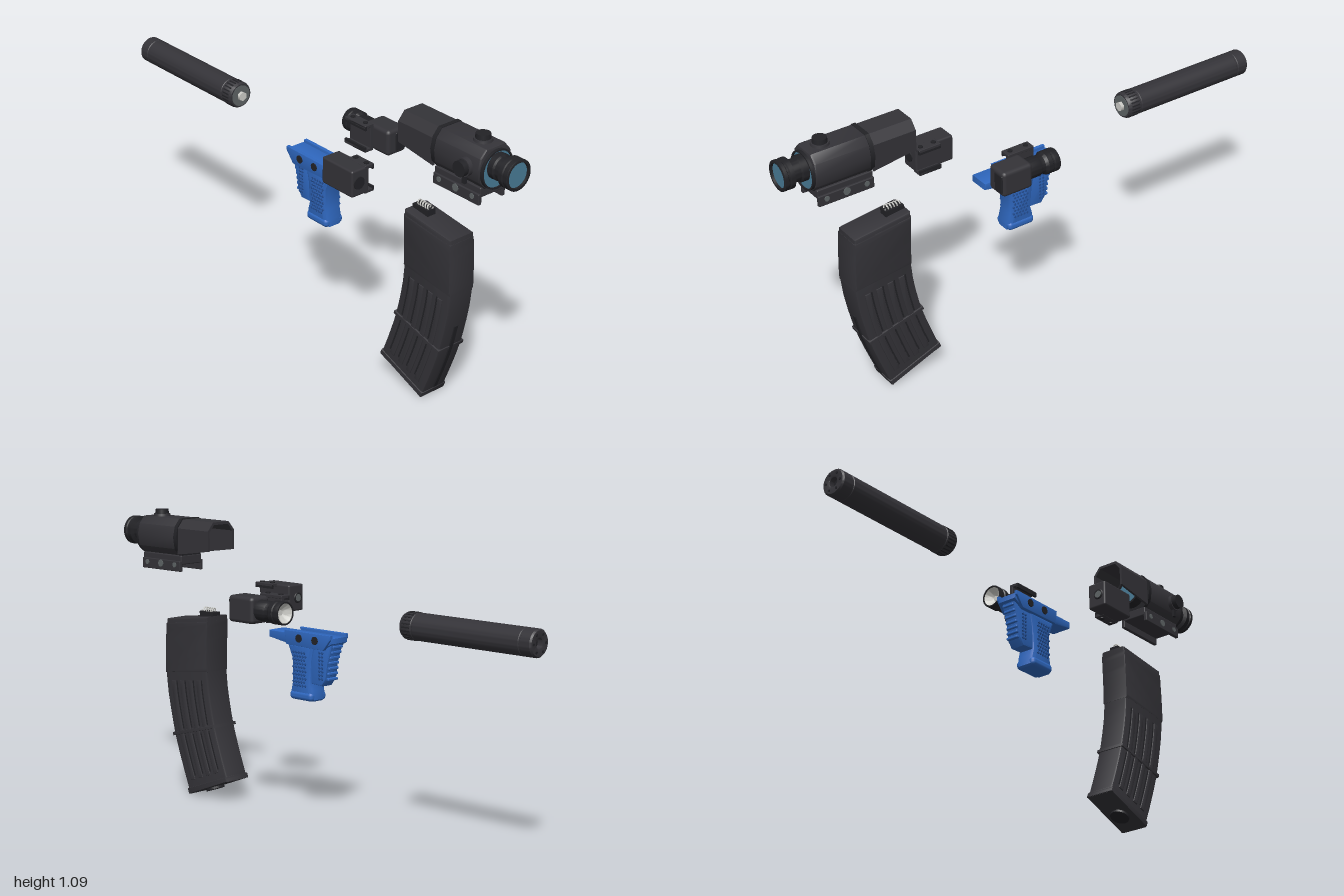
import * as THREE from 'three';
import { mergeGeometries, toCreasedNormals } from 'three/addons/utils/BufferGeometryUtils.js';
import { RoundedBoxGeometry } from 'three/addons/geometries/RoundedBoxGeometry.js';

const colour = (name, hex, side = THREE.FrontSide) => {
  const m = new THREE.MeshStandardMaterial({ color: hex, side });
  m.name = name;
  return m;
};
const M = {
  body: colour('charcoal polymer', 0x343338),
  dark: colour('black metal', 0x222226),
  blue: colour('blue polymer', 0x2f68c0),
  deep: colour('deep blue texture', 0x234f96),
  glass: colour('lens glass', 0x4a7d98),
  silver: colour('bright metal', 0xcfcfca, THREE.DoubleSide),
  grey: colour('grey metal', 0x5f6566),
};
const CX = -0.018; // shared centre line of the main parts

function add(parent, name, geo, mat, x = 0, y = 0, z = 0) {
  const m = new THREE.Mesh(geo, mat);
  m.name = name;
  m.position.set(x, y, z);
  parent.add(m);
  return m;
}
function group(parent, name) {
  const g = new THREE.Group();
  g.name = name;
  parent.add(g);
  return g;
}
const box = (w, h, d, r = 0) => r ? new RoundedBoxGeometry(w, h, d, 2, r) : new THREE.BoxGeometry(w, h, d);
// Turned part about the z axis from [radius, z] points, z increasing
const turned = (pts, seg = 40) => toCreasedNormals(
  new THREE.LatheGeometry(pts.map(p => new THREE.Vector2(...p)), seg).rotateX(Math.PI / 2), 0.6);
// Prism along z from an [x, y] outline, centred on z = 0
function prismZ(pts, depth, bevel = 0) {
  const shape = new THREE.Shape(pts.map(p => new THREE.Vector2(...p)));
  const d = depth - 2 * bevel;
  const g = new THREE.ExtrudeGeometry(shape, {
    depth: d, bevelEnabled: bevel > 0, bevelSize: bevel, bevelThickness: bevel, bevelOffset: -bevel, bevelSegments: 2,
  });
  return toCreasedNormals(g.translate(0, 0, -d / 2), 0.6);
}
// Prism along x from a [z, y] outline
const prismX = (pts, width, bevel) => prismZ(pts, width, bevel).rotateY(-Math.PI / 2);
const discX = (r, w, seg = 20) => new THREE.CylinderGeometry(r, r, w, seg).rotateZ(Math.PI / 2);
const discZ = (r, w, seg = 32) => new THREE.CylinderGeometry(r, r, w, seg).rotateX(Math.PI / 2);

function buildScope(root) {
  const g = group(root, 'scope');
  // Octagonal housing
  const oct = [[-0.04, 0.925], [0.04, 0.925], [0.068, 0.955], [0.075, 1.0], [0.066, 1.04], [0.042, 1.068], [-0.042, 1.068], [-0.066, 1.04], [-0.075, 1.0], [-0.068, 0.955]];
  add(g, 'scopeHousing', prismZ(oct, 0.225, 0.008), M.body, CX, 0, 0.785);
  add(g, 'housingCollar', prismZ(oct.map(([x, y]) => [x * 1.03, 0.997 + (y - 0.997) * 1.03]), 0.016), M.dark, CX, 0, 0.68);
  // Front lens ring and eyepiece
  add(g, 'frontRing', turned([[0.064, 0.88], [0.07, 0.88], [0.07, 0.908], [0.064, 0.908], [0.064, 0.896]]), M.dark, CX, 0.99);
  add(g, 'frontLens', discZ(0.065, 0.006), M.glass, CX, 0.99, 0.9);
  add(g, 'eyepiece', turned([[0.046, 0.89], [0.046, 0.925], [0.04, 0.93], [0.04, 0.955], [0.055, 0.96], [0.055, 0.975], [0.051, 0.978],
    [0.051, 0.983], [0.055, 0.986], [0.055, 0.998], [0.052, 1.0], [0.045, 1.0], [0.044, 0.98]]), M.dark, CX, 1.003);
  add(g, 'eyepieceLens', discZ(0.045, 0.006), M.glass, CX, 1.003, 0.988);
  // Rear hood, open below, its lower edge rising to the back
  const hood = prismZ([[-0.067, 0.935], [-0.067, 1.035], [-0.04, 1.067], [0.04, 1.067], [0.067, 1.035], [0.067, 0.935],
    [0.058, 0.935], [0.058, 1.03], [0.036, 1.057], [-0.036, 1.057], [-0.058, 1.03], [-0.058, 0.935]], 0.17);
  const p = hood.attributes.position;
  for (let i = 0; i < p.count; i++) if (p.getY(i) < 0.95) p.setY(i, p.getY(i) + 0.024 * (0.085 - p.getZ(i)) / 0.17);
  add(g, 'rearHood', hood, M.body, CX, 0, 0.59);
  add(g, 'rearLensRing', turned([[0.047, 0.63], [0.055, 0.63], [0.055, 0.68]]), M.dark, CX, 0.995);
  add(g, 'rearLens', discZ(0.049, 0.006), M.glass, CX, 0.995, 0.645);
  // Adjustment turrets
  add(g, 'topTurretBase', new THREE.CylinderGeometry(0.031, 0.034, 0.014, 24), M.body, CX, 1.07, 0.835);
  add(g, 'topTurret', new THREE.CylinderGeometry(0.025, 0.027, 0.02, 16), M.dark, CX, 1.084, 0.835);
  add(g, 'sideTurretBase', discX(0.032, 0.02), M.body, -0.095, 0.997, 0.835);
  add(g, 'sideTurret', discX(0.028, 0.024, 16), M.dark, -0.112, 0.997, 0.835);
  add(g, 'sideLever', box(0.01, 0.035, 0.014), M.dark, -0.096, 0.955, 0.835);
  // Rail mount with clamping jaws and bolts
  add(g, 'mountBlock', box(0.106, 0.035, 0.215, 0.004), M.body, CX, 0.912, 0.778);
  for (const s of [-1, 1]) {
    add(g, 'mountJaw', box(0.014, 0.04, 0.215, 0.003), M.body, CX + s * 0.053, 0.888, 0.778);
    for (const z of [0.70, 0.778, 0.855]) add(g, 'mountBolt', discX(z === 0.778 ? 0.014 : 0.01, 0.008, 8), M.grey, CX + s * 0.059, 0.893, z);
  }
}

function buildMagazine(root) {
  const g = group(root, 'magazine');
  const curve = pts => new THREE.SplineCurve(pts.map(p => new THREE.Vector2(...p)));
  const front = curve([[0.757, 0.68], [0.764, 0.46], [0.73, 0.273], [0.69, 0.145], [0.635, 0.005]]);
  const rear = curve([[0.528, 0.708], [0.533, 0.488], [0.507, 0.327], [0.472, 0.21], [0.425, 0.086]]);
  const at = (u, t) => front.getPoint(t).lerp(rear.getPoint(t), u).toArray();
  // Curved panel between depth fractions u and length fractions t
  const panel = (u0, u1, t0, t1, width, bevel) => {
    const a = [], b = [];
    for (let i = 0; i <= 12; i++) {
      const t = t0 + (t1 - t0) * i / 12;
      a.push(at(u0, t));
      b.unshift(at(u1, t));
    }
    return prismX([...a, ...b], width, bevel);
  };
  add(g, 'magazineBody', panel(0, 1, 0, 1, 0.108, 0.008), M.body, CX);
  add(g, 'upperSleeve', panel(-0.005, 1.005, 0.03, 0.24, 0.112, 0.006), M.body, CX);
  add(g, 'middleBand', panel(-0.015, 1.015, 0.56, 0.585, 0.121, 0.003), M.body, CX);
  add(g, 'basePlate', panel(-0.01, 1.01, 0.945, 0.998, 0.118, 0.006), M.body, CX);
  // Raised ribs and dark slots along both sides
  for (let i = 0; i < 4; i++) {
    const u = 0.14 + i * 0.2;
    add(g, 'sideRib', panel(u, u + 0.1, 0.28, 0.9, 0.116, 0.003), M.body, CX);
    for (const [a, b] of [[0.28, 0.55], [0.6, 0.88]]) add(g, 'sideSlot', panel(u + 0.11, u + 0.135, a, b, 0.11), M.dark, CX);
  }
  add(g, 'frontRib', panel(-0.02, 0.05, 0.42, 0.93, 0.016), M.dark, CX);
  const button = add(g, 'baseButton', new THREE.CylinderGeometry(0.036, 0.036, 0.016, 24), M.dark, CX, 0.037, 0.55);
  button.rotation.x = 0.37;
  // Feed lips and spring
  add(g, 'feedTower', box(0.036, 0.03, 0.075), M.dark, CX, 0.706, 0.57);
  const pts = [];
  for (let i = 0; i <= 64; i++) {
    const a = i / 64 * Math.PI * 10;
    pts.push(new THREE.Vector3(0.01 * Math.cos(a), 0.009 * Math.sin(a), -0.03 + 0.06 * i / 64));
  }
  add(g, 'feedSpring', new THREE.TubeGeometry(new THREE.CatmullRomCurve3(pts), 130, 0.0025, 6), M.silver, CX, 0.726, 0.574);
}

function buildGrip(root) {
  const g = group(root, 'grip');
  // Top plate, side rails and front tongue
  add(g, 'topPlate', prismX([[0.21, 0.694], [0.21, 0.668], [0.125, 0.655], [-0.06, 0.65], [-0.108, 0.675], [-0.108, 0.694]], 0.08, 0.004), M.blue, CX);
  for (const s of [-1, 1]) {
    add(g, 'sideRail', prismX([[0.125, 0.705], [0.115, 0.652], [-0.07, 0.648], [-0.105, 0.69], [-0.105, 0.705]], 0.014, 0.002), M.blue, CX + s * 0.041);
    for (const z of [0.05, -0.03]) add(g, 'crossScrew', discX(0.015, 0.008, 12), M.dark, CX + s * 0.0475, 0.68, z);
  }
  // Hand column with a flared foot
  add(g, 'handColumn', prismX([[0.125, 0.66], [0.1, 0.6], [0.098, 0.52], [0.107, 0.48], [0.107, 0.452], [0.1, 0.45], [0.0, 0.45], [-0.006, 0.456],
    [-0.004, 0.49], [0.004, 0.52], [-0.002, 0.6], [-0.015, 0.66]], 0.076, 0.016), M.blue, CX);
  add(g, 'columnFoot', box(0.084, 0.034, 0.112, 0.014), M.blue, CX, 0.467, 0.051);
  // Rear stop with serrated edge
  add(g, 'rearStop', prismX([[0.01, 0.66], [0.01, 0.515], [-0.045, 0.512], [-0.066, 0.54], [-0.075, 0.6], [-0.1, 0.675]], 0.06, 0.008), M.blue, CX);
  for (let i = 0; i < 7; i++) {
    const t = i / 6;
    add(g, 'serration', box(0.05, 0.01, 0.014, 0.003), M.blue, CX, 0.54 + 0.12 * t, -0.066 - 0.024 * t * t - 0.004);
  }
  // Raised texture on both sides
  const bumps = [], dot = (x, y, z) => bumps.push(box(0.006, 0.008, 0.008).rotateX(Math.PI / 4).translate(x, y, z));
  for (const s of [-1, 1]) {
    for (let r = 0; r < 10; r++) for (let c = 0; c < 5; c++) dot(s * 0.038, 0.505 + r * 0.0135, 0.026 + c * 0.0135 + (r % 2) * 0.006);
    for (let r = 0; r < 8; r++) for (let c = 0; c < 2; c++) dot(s * 0.03, 0.54 + r * 0.0135, -0.05 + c * 0.014);
  }
  add(g, 'gripTexture', mergeGeometries(bumps), M.deep, CX);
}

// Side clamp: a plate with two jaws, reaching along dir in x
function addClamp(g, x, dir, z, length) {
  add(g, 'clampPlate', box(0.014, 0.1, length, 0.002), M.body, x, 0.79, z);
  for (const s of [-1, 1]) {
    add(g, 'clampJaw', box(0.04, 0.012, length, 0.002), M.body, x + dir * 0.012, 0.79 + s * 0.046, z);
    add(g, 'clampHook', box(0.008, 0.016, length), M.dark, x + dir * 0.028, 0.79 + s * 0.041, z);
    for (const d of [-0.3, 0.3]) add(g, 'clampScrew', new THREE.CylinderGeometry(0.009, 0.009, 0.008, 10), M.dark, x + dir * 0.012, 0.79 + s * 0.052, z + d * length);
  }
}

function buildFlashlight(root) {
  const g = group(root, 'flashlight');
  add(g, 'lightBody', box(0.088, 0.098, 0.125, 0.014), M.body, 0.149, 0.788, 0.187);
  add(g, 'tailSwitch', box(0.045, 0.07, 0.01, 0.004), M.dark, 0.163, 0.788, 0.247);
  add(g, 'lightHead', turned([[0.036, 0.006], [0.037, 0.002], [0.042, 0.002], [0.043, 0.006], [0.043, 0.022], [0.039, 0.025], [0.039, 0.03],
    [0.043, 0.033], [0.043, 0.05], [0.035, 0.06], [0.035, 0.075], [0.038, 0.08], [0.038, 0.13]].map(([r, z]) => [r, z])), M.dark, 0.147, 0.788);
  add(g, 'reflector', turned([[0.008, 0.03], [0.022, 0.02], [0.037, 0.004]].reverse()), M.silver, 0.147, 0.788);
  add(g, 'lamp', discZ(0.01, 0.006, 16), M.silver, 0.147, 0.788, 0.03);
  addClamp(g, 0.1, -1, 0.115, 0.11);
}

function buildLaser(root) {
  const g = group(root, 'laserUnit');
  add(g, 'laserBody', box(0.077, 0.1, 0.157, 0.007), M.body, -0.158, 0.79, 0.325);
  add(g, 'batteryCap', discZ(0.023, 0.008), M.dark, -0.166, 0.79, 0.403);
  add(g, 'emitterRing', new THREE.TorusGeometry(0.016, 0.005, 8, 24), M.dark, -0.166, 0.79, 0.248);
  add(g, 'emitter', discZ(0.014, 0.006, 20), M.grey, -0.166, 0.79, 0.247);
  addClamp(g, -0.129, 1, 0.358, 0.09);
}

function buildSuppressor(root) {
  const g = group(root, 'suppressor');
  add(g, 'tube', turned([[0.018, -0.975], [0.018, -0.998], [0.022, -1.0], [0.044, -1.0], [0.049, -0.994], [0.049, -0.955], [0.047, -0.953], [0.047, -0.948],
    [0.049, -0.946], [0.049, -0.49], [0.047, -0.488], [0.047, -0.482], [0.049, -0.48], [0.049, -0.437], [0.045, -0.43], [0.038, -0.43]], 48), M.body, CX, 0.775);
  add(g, 'muzzleBore', discZ(0.019, 0.004, 24), M.dark, CX, 0.775, -0.976);
  for (let i = 0; i < 6; i++) {
    const a = i / 6 * Math.PI * 2;
    add(g, 'capNotch', discZ(0.005, 0.004, 10), M.dark, CX + 0.033 * Math.cos(a), 0.775 + 0.033 * Math.sin(a), -0.9995);
  }
  for (let i = 0; i < 24; i++) {
    const a = i / 24 * Math.PI * 2;
    const k = add(g, 'collarKnurl', box(0.004, 0.005, 0.035), M.dark, CX + 0.0485 * Math.cos(a), 0.775 + 0.0485 * Math.sin(a), -0.46);
    k.rotation.z = a;
  }
  add(g, 'threadFace', discZ(0.04, 0.006), M.grey, CX, 0.775, -0.431);
  add(g, 'threadNut', discZ(0.018, 0.014, 6), M.silver, CX, 0.775, -0.423);
}

export function createModel() {
  const root = new THREE.Group();
  root.name = 'accessorySet';
  for (const build of [buildScope, buildMagazine, buildGrip, buildFlashlight, buildLaser, buildSuppressor]) build(root);
  return root;
}
